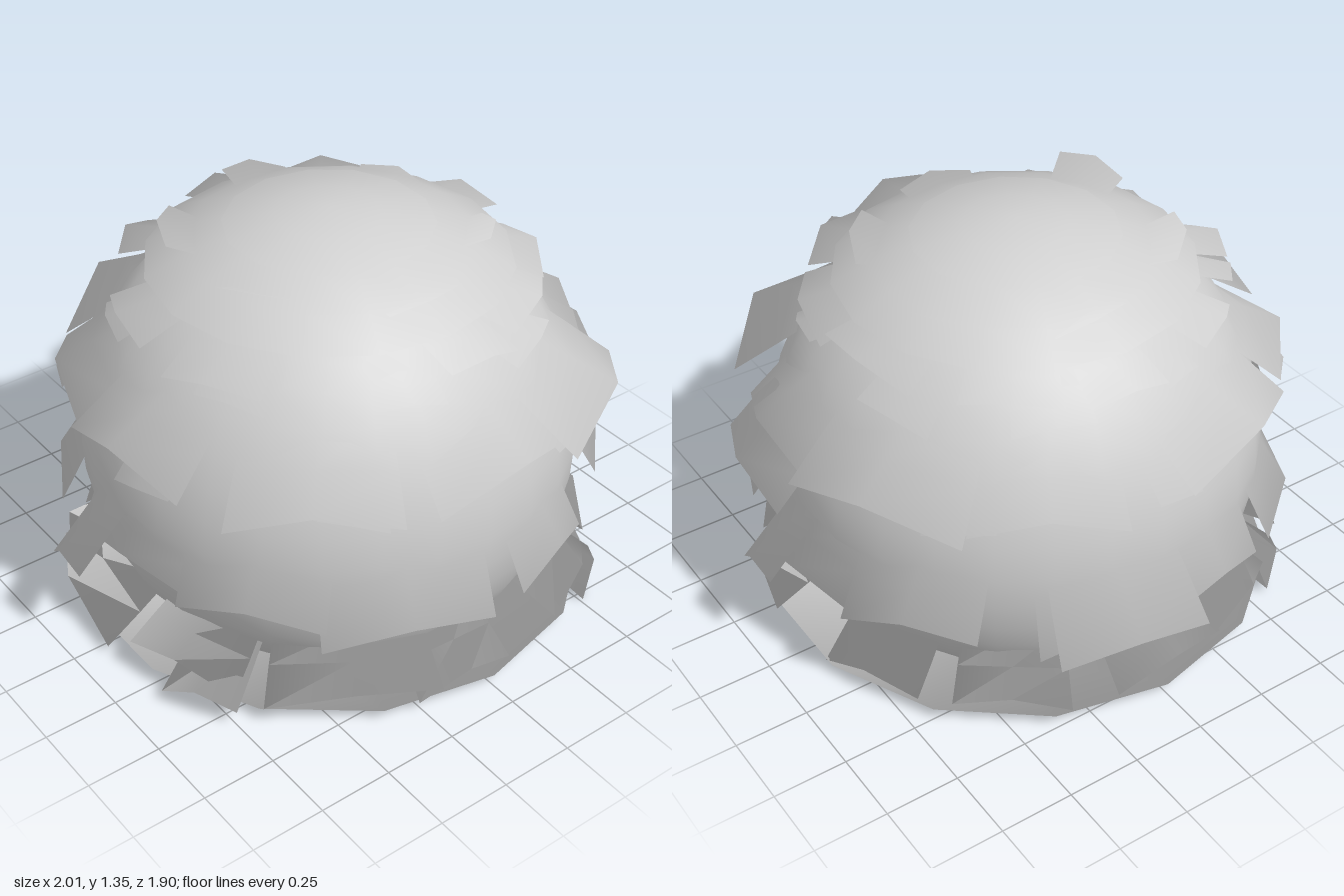
import * as THREE from 'three';

const CENTRE = new THREE.Vector3(0, 0.55, 0);

// Rounded shading: every layer takes its normals from the mound's centre
function roundNormals(geo) {
  const p = geo.attributes.position, v = new THREE.Vector3();
  const out = new Float32Array(p.count * 3);
  for (let i = 0; i < p.count; i++) {
    v.fromBufferAttribute(p, i).sub(CENTRE).normalize().toArray(out, i * 3);
  }
  geo.setAttribute('normal', new THREE.BufferAttribute(out, 3));
  return geo;
}

// Surface of revolution from [radius, height] pairs, listed bottom to top
function layer(profile, sides) {
  return roundNormals(new THREE.LatheGeometry(profile.map(([r, y]) => new THREE.Vector2(r, y)), sides));
}

// One bent flap: three columns wide, peaked in the middle of its free edge
function flap(azimuth, half, [r0, y0], [r1, y1], peak, skew) {
  const pos = [];
  for (let row = 0; row < 3; row++) {
    const t = row / 2;
    for (let col = -1; col <= 1; col++) {
      const a = azimuth + col * half * (1 - 0.1 * t);
      const r = r0 + (r1 - r0) * t + (col ? 0 : 0.015);
      const y = y0 + (y1 - y0) * t + t * (col ? col * skew : peak);
      pos.push(r * Math.sin(a), y, r * Math.cos(a));
    }
  }
  const index = [];
  for (const i of [0, 1, 3, 4]) index.push(i, i + 3, i + 1, i + 1, i + 3, i + 4);
  const geo = new THREE.BufferGeometry();
  geo.setAttribute('position', new THREE.Float32BufferAttribute(pos, 3));
  geo.setIndex(index);
  return roundNormals(geo);
}

export function createModel() {
  const model = new THREE.Group();
  model.name = 'shaggyMound';
  const mound = new THREE.Group();
  mound.name = 'mound';
  mound.position.z = 0.04;
  model.add(mound);
  const grey = new THREE.MeshStandardMaterial({ color: 0xd0d0d0, side: THREE.DoubleSide });
  grey.name = 'grey';

  let seed = 11;
  const rand = () => (seed = (seed * 16807) % 2147483647) / 2147483647;
  const jitter = (s) => (rand() * 2 - 1) * s;
  const add = (name, geo, parent = mound) => {
    const mesh = new THREE.Mesh(geo, grey);
    mesh.name = name;
    parent.add(mesh);
  };

  // Dome, open underneath
  const dome = [];
  for (let i = 0; i <= 16; i++) {
    const a = -0.68 + (i / 16) * (Math.PI / 2 + 0.68);
    dome.push([Math.max(0, 0.815 * Math.cos(a)), 0.55 + 0.79 * Math.sin(a)]);
  }
  add('dome', layer(dome, 28));

  // Flat brim at the foot and the two covering layers at the crown
  add('footBrim', layer([[0.87, 0.045], [0.63, 0.05]], 14));
  add('crownLayer', layer([[0.585, 1.18], [0.46, 1.245], [0.3, 1.3]], 16));
  add('crownCap', layer([[0.335, 1.3], [0.17, 1.33], [0, 1.352]], 14));

  // Rows of flaps: attached edge, free edge, count, half angle, peak, spread of the free edge
  const rows = [
    { name: 'footFlaps', from: [0.66, 0.22], to: [0.87, 0.08], n: 10, half: 0.28, peak: 0.07, spread: 0.035 },
    { name: 'lowerFlaps', from: [0.77, 0.6], to: [0.905, 0.36], n: 10, half: 0.28, peak: 0.07, spread: 0.045 },
    { name: 'middleFlaps', from: [0.62, 1.0], to: [0.89, 0.79], n: 9, half: 0.32, peak: 0.09, spread: 0.045 },
    { name: 'underFlaps', from: [0.68, 0.92], to: [0.85, 0.78], n: 7, half: 0.13, peak: 0.02, spread: 0.03 },
    { name: 'shoulderFlaps', from: [0.46, 1.18], to: [0.67, 1.09], n: 10, half: 0.26, peak: 0.04, spread: 0.035 },
    { name: 'lowShoulderFlaps', from: [0.54, 1.11], to: [0.7, 1.05], n: 8, half: 0.16, peak: 0.03, spread: 0.03 },
    { name: 'crownFlaps', from: [0.32, 1.21], to: [0.5, 1.265], n: 6, half: 0.25, peak: 0.02, spread: 0.035 },
  ];
  rows.forEach((row, k) => {
    const group = new THREE.Group();
    group.name = row.name;
    mound.add(group);
    for (let i = 0; i < row.n; i++) {
      const azimuth = ((i + (k % 2) / 2) / row.n) * Math.PI * 2 + jitter(0.12);
      const to = [row.to[0] + jitter(row.spread), row.to[1] + jitter(row.spread)];
      add('flap', flap(azimuth, row.half * (1 + jitter(0.25)), row.from, to, row.peak, jitter(0.03)), group);
    }
  });

  // Longer stray flaps: azimuth, half angle, attached edge, free edge
  const strays = [
    [2.94, 0.28, [0.75, 0.6], [0.99, 0.37]],
    [-1.63, 0.1, [0.77, 0.6], [0.99, 0.38]],
    [1.57, 0.1, [0.77, 0.6], [0.99, 0.39]],
    [1.38, 0.31, [0.74, 0.86], [0.94, 0.64]],
    [0.75, 0.16, [0.66, 0.2], [0.9, 0.01]],
    [-1.1, 0.16, [0.66, 0.2], [0.93, 0.06]],
    [-2.3, 0.16, [0.66, 0.2], [0.89, 0.03]],
  ];
  for (const [a, half, from, to] of strays) add('strayFlap', flap(a, half, from, to, 0.06, 0.01));
  return model;
}
